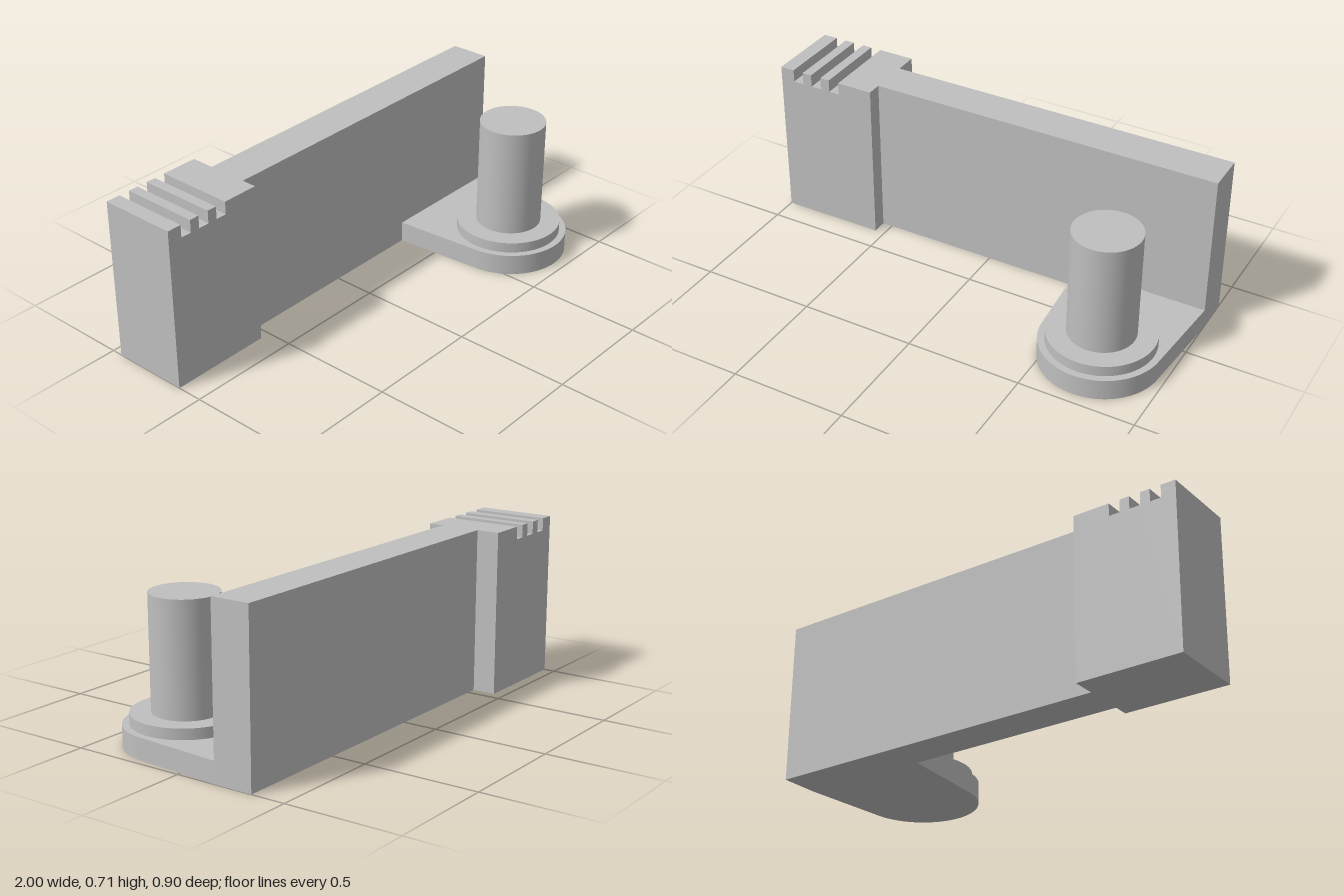
import * as THREE from 'three';
import { toCreasedNormals } from 'three/addons/utils/BufferGeometryUtils.js';

export function createModel() {
  const group = new THREE.Group();
  const grey = new THREE.MeshStandardMaterial({ color: 0xbfbfbf });
  grey.name = 'plain grey';

  const add = (name, geometry) => {
    const mesh = new THREE.Mesh(geometry, grey);
    mesh.name = name;
    group.add(mesh);
    return mesh;
  };

  const height = 0.71;
  const headEnd = -0.545;
  const wallFront = -0.178;

  // Thick end block, its top cut by three square grooves
  const profile = new THREE.Shape();
  profile.moveTo(-1, 0);
  profile.lineTo(headEnd, 0);
  profile.lineTo(headEnd, height);
  for (const x of [-0.73, -0.821, -0.912]) {
    profile.lineTo(x + 0.024, height);
    profile.lineTo(x + 0.024, 0.655);
    profile.lineTo(x - 0.024, 0.655);
    profile.lineTo(x - 0.024, height);
  }
  profile.lineTo(-1, height);
  profile.closePath();
  const block = new THREE.ExtrudeGeometry(profile, { depth: 0.34, bevelEnabled: false });
  add('groovedEndBlock', block.translate(0, 0, -0.452));

  // Long thin wall
  const wallBack = -0.351;
  const wall = add('wall', new THREE.BoxGeometry(1 - headEnd, height, wallFront - wallBack));
  wall.position.set((1 + headEnd) / 2, height / 2, (wallFront + wallBack) / 2);

  // Foot plate: straight sides running tangent into a round nose
  const cx = 0.713, cz = 0.197, radius = 0.256, plateHeight = 0.092;
  const tangent = THREE.MathUtils.degToRad(4.7);
  const outline = new THREE.Shape();
  outline.moveTo(cx - 0.287, wallFront);
  outline.lineTo(1, wallFront);
  outline.absarc(cx, cz, radius, tangent, Math.PI - tangent, false);
  outline.closePath();
  const plate = new THREE.ExtrudeGeometry(outline, {
    depth: plateHeight, bevelEnabled: false, curveSegments: 48,
  });
  plate.rotateX(Math.PI / 2).translate(0, plateHeight, 0);
  add('footPlate', toCreasedNormals(plate, 0.5));

  // Collar and upright pin
  const addCylinder = (name, r, bottom, top) => {
    const mesh = add(name, new THREE.CylinderGeometry(r, r, top - bottom, 64));
    mesh.position.set(cx, (bottom + top) / 2, cz);
  };
  addCylinder('collar', 0.227, plateHeight, 0.138);
  addCylinder('pin', 0.142, 0.138, 0.618);

  return group;
}
